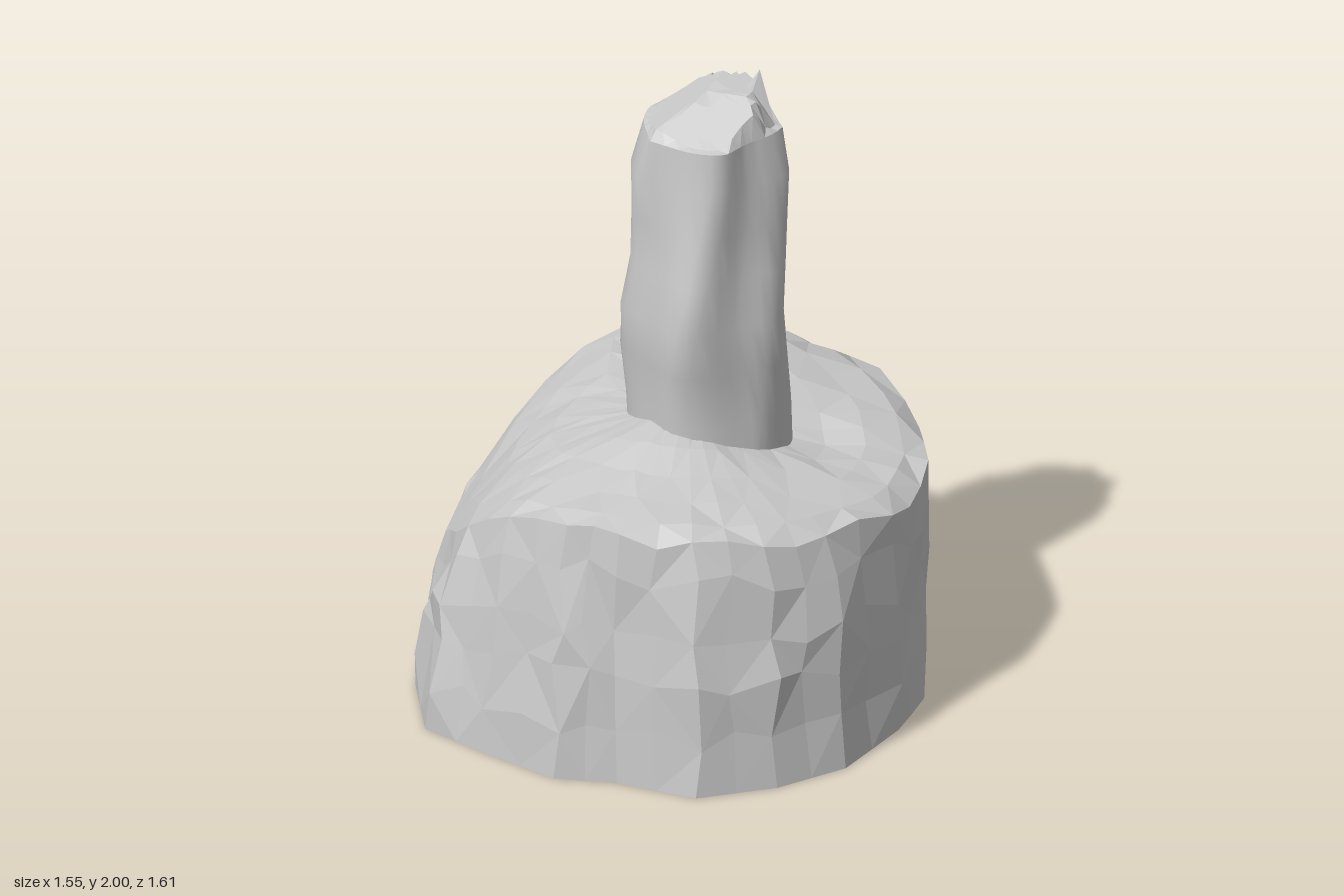
import * as THREE from 'three';

// Seeded noise in -1..1
function makeNoise(seed) {
  let s = seed;
  return () => {
    s = (s * 16807) % 2147483647;
    return (s / 2147483647) * 2 - 1;
  };
}

// Skin over a stack of closed rings, ordered upwards
function loft(rings) {
  const n = rings[0].length, index = [];
  const geo = new THREE.BufferGeometry().setFromPoints(rings.flat());
  for (let j = 0; j < rings.length - 1; j++) {
    for (let i = 0; i < n; i++) {
      const a = j * n + i, b = j * n + (i + 1) % n;
      if ((i + j) % 2) index.push(a, a + n, b, b, a + n, b + n);
      else index.push(a, b + n, b, a, a + n, b + n);
    }
  }
  geo.setIndex(index);
  geo.computeVertexNormals();
  return geo;
}

// Piecewise-linear lookup in [x, y] pairs
function lookup(table, x) {
  if (x <= table[0][0]) return table[0][1];
  for (let i = 1; i < table.length; i++) {
    const [x0, y0] = table[i - 1], [x1, y1] = table[i];
    if (x <= x1) return y0 + (y1 - y0) * (x - x0) / (x1 - x0);
  }
  return table[table.length - 1][1];
}

const V = (x, y, z) => new THREE.Vector3(x, y, z);
const UP = V(0, 1, 0);
const bump = (x, z, cx, cz, r) => Math.exp(-((x - cx) ** 2 + (z - cz) ** 2) / (r * r));

// Widest outline of the rock, as x, z
const outline = [
  [-0.78, -0.22], [-0.67, -0.43], [-0.42, -0.59], [-0.33, -0.71], [-0.07, -0.76], [0.06, -0.8],
  [0.25, -0.78], [0.4, -0.64], [0.62, -0.45], [0.73, -0.22], [0.78, 0.02], [0.74, 0.24],
  [0.64, 0.52], [0.47, 0.69], [0.25, 0.81], [0, 0.76], [-0.19, 0.77], [-0.42, 0.65],
  [-0.63, 0.53], [-0.72, 0.25], [-0.74, 0.05],
];

// Rock top slopes off steeply to the right side and gently to the left
const slope = [[-0.7, 0.4], [-0.64, 0.48], [-0.52, 0.65], [-0.4, 0.755], [-0.28, 0.815],
  [-0.1, 0.85], [0.2, 0.84], [0.5, 0.79], [0.78, 0.72]];
function topHeight(x, z) {
  return lookup(slope, x) - 0.035 * Math.min(1, (z / 0.75) ** 4)
    + 0.07 * bump(x, z, 0.05, 0.2, 0.17) + 0.05 * bump(x, z, 0.18, -0.42, 0.17)
    - 0.035 * bump(x, z, 0.4, -0.05, 0.13);
}

function rockGeometry() {
  const noise = makeNoise(71);
  const foot = [];
  outline.forEach(([x, z], i) => {
    const [x2, z2] = outline[(i + 1) % outline.length];
    foot.push([x, z], [(x + x2) / 2, (z + z2) / 2]);
  });
  const rim = foot.map(([x, z]) => {
    const a = Math.atan2(z, x - 0.05), r = 0.705 + 0.012 * noise();
    const rx = 0.05 + r * Math.cos(a), rz = r * 1.05 * Math.sin(a);
    return V(rx, topHeight(rx, rz) - (x > 0.1 ? 0.02 + 0.02 * Math.sin(9 * a) : 0), rz);
  });

  const rings = [foot.map(() => V(0, 0, 0))];
  // Rugged walls: the back left corner has a chamfered foot, a crevice and an overhang
  for (const f of [0, 0.22, 0.44, 0.62, 0.84, 1]) {
    const inner = f > 0 && f < 1;
    rings.push(foot.map(([x, z], i) => {
      const p = V(x, 0, z).lerp(rim[i], f ** (x < -0.3 ? 2 : 3.5));
      p.y = rim[i].y * f;
      const corner = bump(x, z, 0.45, -0.62, 0.42);
      let s = 1;
      if (inner) {
        s += 0.016 * noise() - 0.008;
        p.y += 0.03 * noise();
        p.applyAxisAngle(UP, 0.03 * noise());
      }
      if (f === 0) {
        s -= 0.28 * corner;
        p.y = 0.03 * corner;
      }
      if (f === 0.44) s -= 0.06 * corner + 0.03 * bump(x, z, 0, -0.8, 0.3);
      if (f === 0.84) s += 0.045 * bump(x, z, 0.15, -0.78, 0.35);
      return V(p.x * s, p.y, p.z * s);
    }));
  }
  // Gently uneven top
  for (const k of [0.9, 0.74, 0.57, 0.4, 0.22, 0]) {
    rings.push(rim.map((p) => {
      const x = 0.05 + (p.x - 0.05) * k, z = p.z * k;
      return V(x, topHeight(x, z) + 0.009 * k * noise(), z);
    }));
  }
  return loft(rings);
}

// One ring of the trunk: four lobes crossed by slanting flutes
const columns = 48;
function trunkRing(y, x0, x1, z0, z1, flute) {
  return Array.from({ length: columns }, (_, i) => {
    const a = (i / columns) * Math.PI * 2;
    const t = a - 0.85 * (1.83 - y) - 1.1;
    const s = 1.02 - 0.05 * (1 - Math.cos(4 * a)) - flute * Math.abs(Math.sin(2.5 * t));
    return V(
      (x0 + x1) / 2 + s * (x1 - x0) / 2 * Math.cos(a),
      y,
      (z0 + z1) / 2 + s * (z1 - z0) / 2 * Math.sin(a),
    );
  });
}

export function createModel() {
  const model = new THREE.Group();
  const add = (name, geo, flatShading) => {
    const material = new THREE.MeshStandardMaterial({ color: 0xcccccc, flatShading, side: THREE.DoubleSide });
    const mesh = new THREE.Mesh(geo, material);
    mesh.name = name;
    model.add(mesh);
  };

  add('rockBase', rockGeometry(), true);

  // Height, x extent, z extent, flute depth
  const trunk = [
    [0.72, -0.13, 0.37, -0.25, 0.24, 0.06], [0.93, -0.135, 0.37, -0.25, 0.245, 0.07],
    [1.1, -0.145, 0.365, -0.235, 0.27, 0.08], [1.25, -0.145, 0.36, -0.235, 0.3, 0.1],
    [1.4, -0.13, 0.355, -0.28, 0.28, 0.12], [1.55, -0.135, 0.355, -0.235, 0.265, 0.13],
    [1.7, -0.145, 0.36, -0.2, 0.25, 0.14], [1.83, -0.105, 0.335, -0.205, 0.25, 0.15],
  ].map((row) => trunkRing(...row));
  add('trunk', loft(trunk), false);

  // Broken top: slopes meeting a level ridge, with one standing splinter
  const rim = trunk[trunk.length - 1];
  const crownHeight = (x, z) => 1.835 + Math.max(0, Math.min(
    0.58 * (x + 0.06), 0.62 * (0.2 - z), 0.105, 2.5 * (0.3 - x), 2.5 * (z + 0.17)));
  const crown = [0.9, 0.75, 0.6, 0.3, 0].map((k) => rim.map((p) => {
    const x = 0.11 + (p.x - 0.11) * k, z = 0.01 + (p.z - 0.01) * k;
    return V(x, crownHeight(x, z), z);
  }));
  const tip = V(0.26, 2, -0.03);
  const flat = (p) => Math.hypot(p.x - tip.x, p.z - tip.z);
  crown[1].reduce((m, p) => (flat(p) < flat(m) ? p : m)).copy(tip);
  add('brokenTop', loft([rim, ...crown]), true);

  return model;
}
